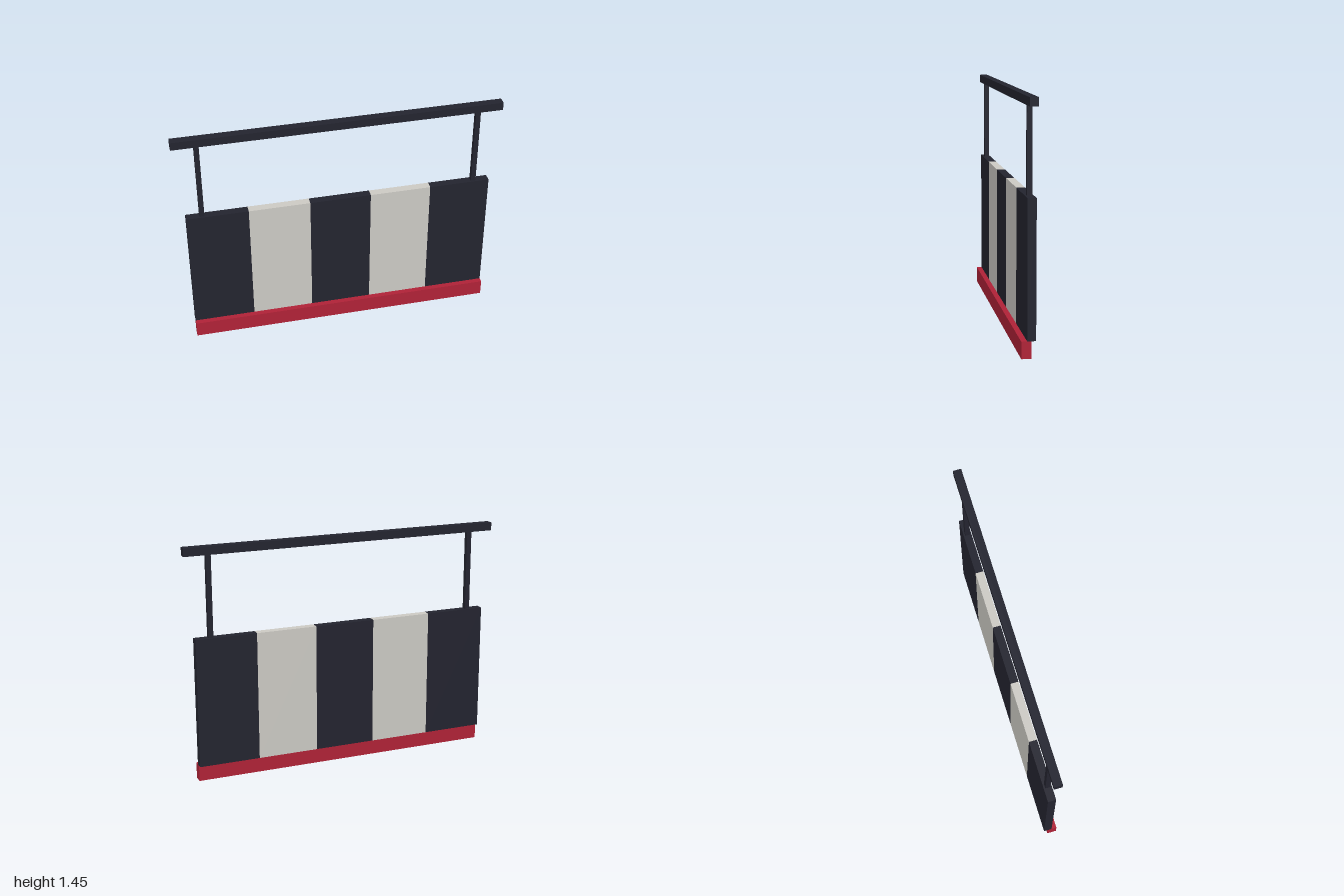
import * as THREE from 'three';

export function createModel() {
  const model = new THREE.Group();
  model.name = 'stripedBarrier';

  const material = (name, color) => {
    const m = new THREE.MeshStandardMaterial({ color });
    m.name = name;
    return m;
  };
  const dark = material('dark navy', 0x23242f);
  const pale = material('pale grey', 0xcccac4);
  const red = material('red', 0xb02237);

  // Box given by its size, centre x, bottom y and centre z
  const addBox = (name, mat, [w, h, d], x, bottom, z) => {
    const mesh = new THREE.Mesh(new THREE.BoxGeometry(w, h, d), mat);
    mesh.name = name;
    mesh.position.set(x, bottom + h / 2, z);
    model.add(mesh);
  };

  const panelZ = -0.0165;
  const stripe = 0.379;

  // Base kerb, set slightly forward of the panel
  addBox('baseKerb', red, [stripe * 5, 0.1, 0.058], 0, 0, 0.0125);

  // Panel of five alternating vertical stripes
  for (let i = -2; i <= 2; i++) {
    const isPale = Math.abs(i) === 1;
    addBox(isPale ? 'paleStripe' : 'darkStripe', isPale ? pale : dark,
      [stripe, 0.8, 0.05], i * stripe, 0.1, panelZ);
  }

  // Posts carrying the top rail
  for (const side of [-1, 1]) {
    addBox(side > 0 ? 'leftPost' : 'rightPost', dark,
      [0.03, 0.5, 0.03], side * 0.85, 0.9, panelZ);
  }
  addBox('topRail', dark, [2, 0.05, 0.05], 0, 1.4, panelZ);

  return model;
}
